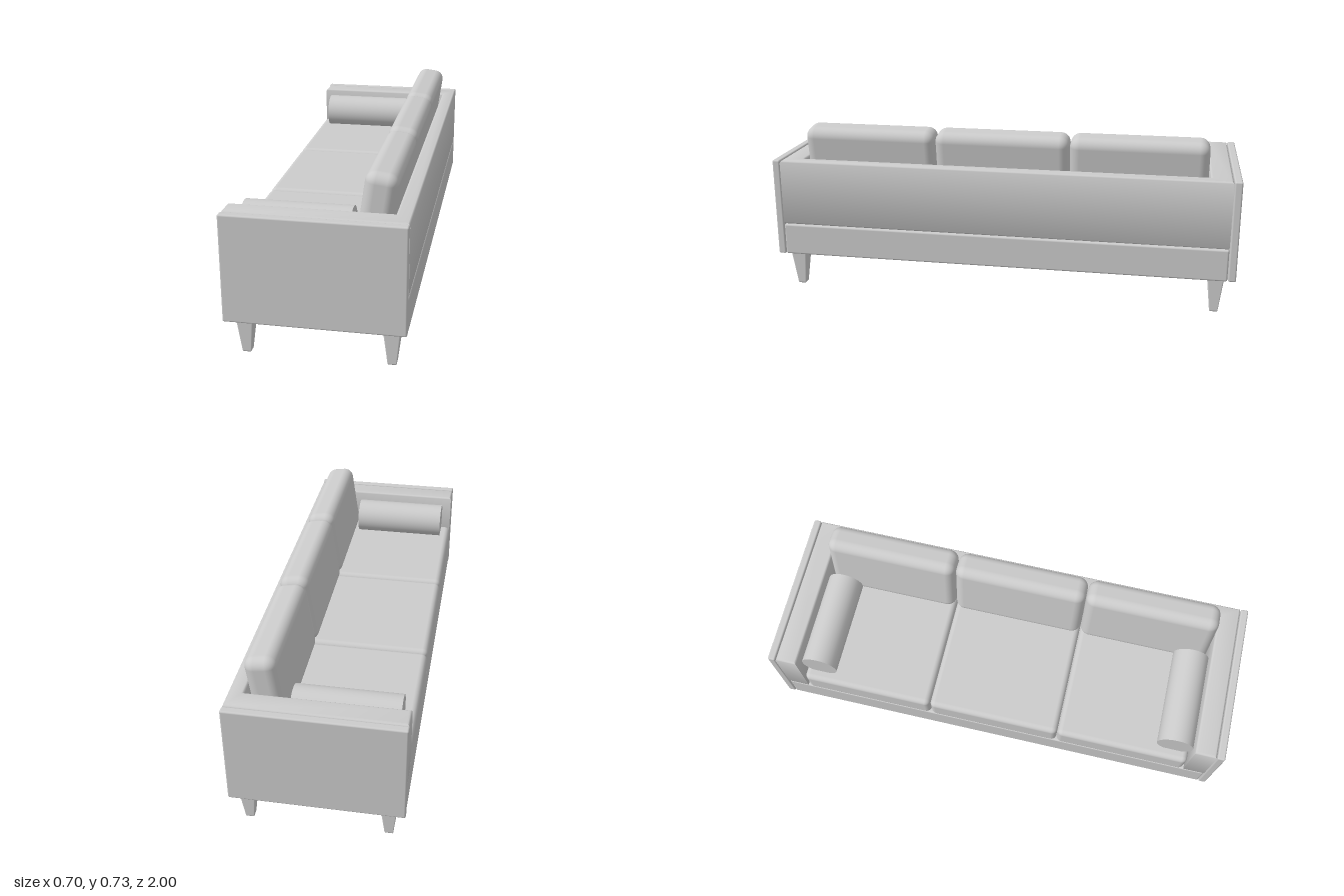
import * as THREE from 'three';
import { toCreasedNormals } from 'three/addons/utils/BufferGeometryUtils.js';
import { RoundedBoxGeometry } from 'three/addons/geometries/RoundedBoxGeometry.js';

const material = new THREE.MeshStandardMaterial({ color: 0xcccccc });

export function createModel() {
  const sofa = new THREE.Group();
  sofa.name = 'sofa';

  const add = (name, geometry, x, y, z) => {
    const mesh = new THREE.Mesh(geometry, material);
    mesh.name = name;
    mesh.position.set(x, y, z);
    sofa.add(mesh);
    return mesh;
  };
  const softBox = (w, h, d, r, segments = 4) => new RoundedBoxGeometry(w, h, d, segments, r);

  // Seat base, running the full length between the side panels
  add('seatBase', softBox(0.692, 0.138, 1.93, 0.008), 0, 0.225, 0);

  // One-piece U of padded arms and backrest, with rounded edges
  const b = 0.012;
  const outline = [
    [-0.347 + b, -0.965 + b], [0.346 - b, -0.965 + b], [0.346 - b, 0.965 - b], [-0.347 + b, 0.965 - b],
    [-0.347 + b, 0.872 + b], [0.283 + b, 0.872 + b], [0.283 + b, -0.872 - b], [-0.347 + b, -0.872 - b],
  ].map(([x, z]) => new THREE.Vector2(x, z));
  const frame = new THREE.ExtrudeGeometry(new THREE.Shape(outline), {
    depth: 0.289 - 2 * b, bevelSize: b, bevelThickness: b, bevelSegments: 4,
  });
  frame.rotateX(-Math.PI / 2);
  add('armsAndBackrest', toCreasedNormals(frame, 0.6), 0, 0.296 + b, 0);

  // Seat cushions and leaning back cushions
  for (let i = -1; i <= 1; i++) {
    const z = i * 0.579;
    add('seatCushion', softBox(0.63, 0.132, 0.577, 0.024), -0.034, 0.361, z);
    const back = add('backCushion', softBox(0.127, 0.315, 0.577, 0.042, 6), 0.209, 0.569, z);
    back.rotation.z = -0.14;
  }

  // Tapered square leg
  const leg = softBox(0.07, 0.156, 0.07, 0.006, 2);
  const p = leg.attributes.position;
  for (let i = 0; i < p.count; i++) {
    const k = THREE.MathUtils.lerp(0.49, 1, (p.getY(i) + 0.078) / 0.156);
    p.setX(i, p.getX(i) * k);
    p.setZ(i, p.getZ(i) * k);
  }

  // Mirrored ends: thin side panel, bolster and two legs
  const bolster = new THREE.CylinderGeometry(0.078, 0.078, 0.42, 40);
  bolster.rotateZ(Math.PI / 2);
  for (const side of [-1, 1]) {
    add('sidePanel', softBox(0.694, 0.43, 0.033, 0.007), -0.001, 0.371, side * 0.9835);
    add('bolster', bolster, -0.095, 0.493, side * 0.796);
    for (const x of [-0.278, 0.284]) add('leg', leg, x, 0.078, side * 0.919);
  }

  return sofa;
}
